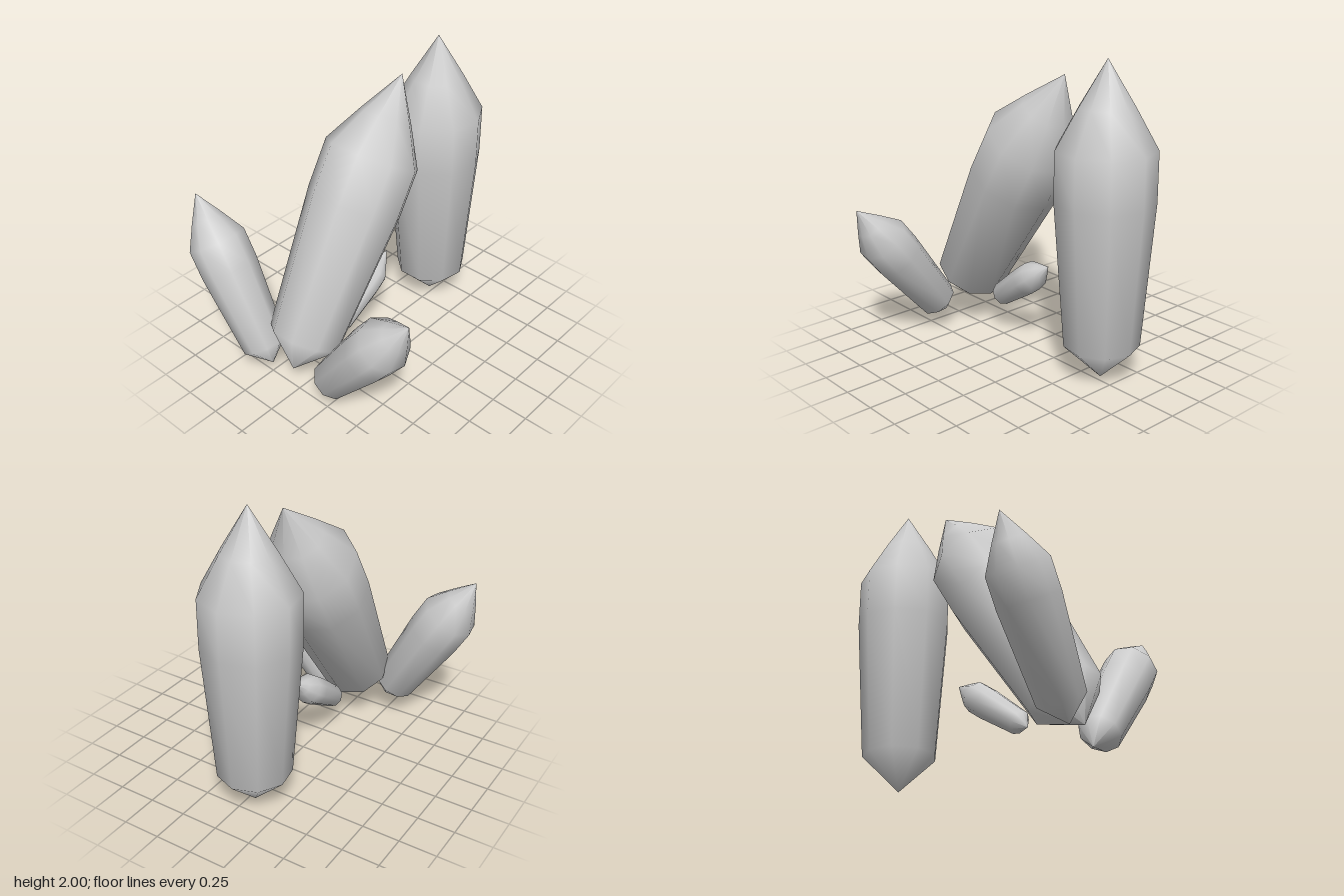
import * as THREE from 'three';

// Crystal profile from bottom point to top point: [radius, height]
const PROFILE = [[0, 0], [0.24, 0.23], [0.31, 1.15], [0.31, 1.47], [0.17, 1.72], [0, 2]];
const SIDES = 9;

// name, bottom point, scale, tilt toward +x, tilt toward +z (degrees)
const CRYSTALS = [
  ['uprightCrystal', [0.63, 0, -0.04], 1, 0, 0],
  ['leaningCrystal', [-0.758, 0.152, -0.04], 1, 31.3, 0],
  ['backCrystal', [-0.77, 0.105, -0.218], 0.61, 0, -30.7],
  ['frontCrystal', [-0.685, 0.09, 0.16], 0.557, 0, 38.3],
  ['smallCrystal', [-0.37, 0.22, -0.04], 0.32, 54.2, 0],
];

export function createModel() {
  const group = new THREE.Group();
  group.name = 'crystalCluster';
  const material = new THREE.MeshStandardMaterial({ color: 0xcccccc });

  // One nine-sided crystal with a corner on +x, shared by every piece
  const points = PROFILE.map(([r, y]) => new THREE.Vector2(r, y));
  const geometry = new THREE.LatheGeometry(points, SIDES, Math.PI / 2);

  for (const [name, base, scale, tiltX, tiltZ] of CRYSTALS) {
    const crystal = new THREE.Mesh(geometry, material);
    crystal.name = name;
    crystal.position.set(...base);
    crystal.scale.setScalar(scale);
    crystal.rotation.set(THREE.MathUtils.degToRad(tiltZ), 0, THREE.MathUtils.degToRad(-tiltX));
    group.add(crystal);
  }
  return group;
}
